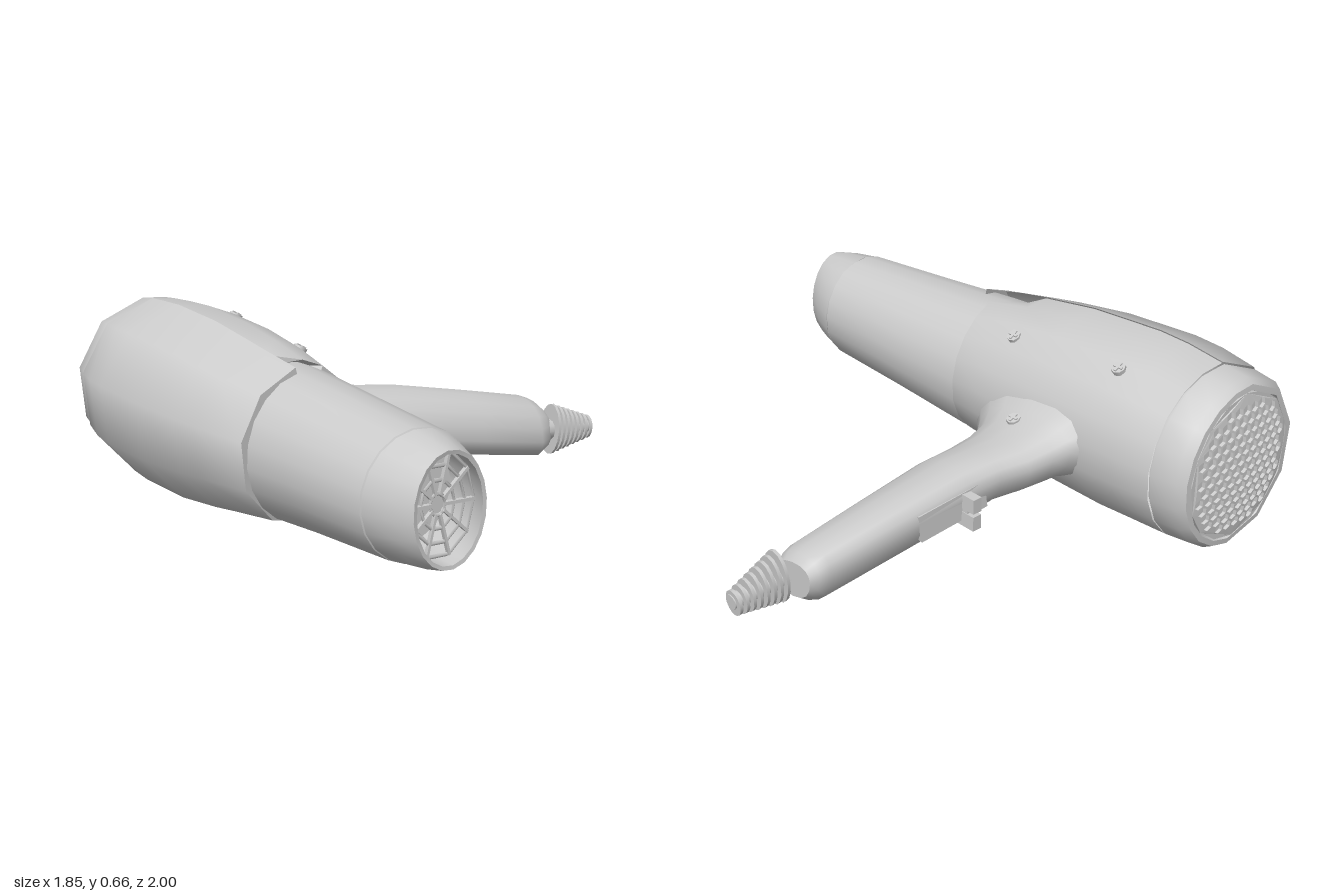
import * as THREE from 'three';
import { toCreasedNormals } from 'three/addons/utils/BufferGeometryUtils.js';

const material = new THREE.MeshStandardMaterial({ color: 0xcccccc, side: THREE.DoubleSide });
const V = (x, y, z) => new THREE.Vector3(x, y, z);

function add(parent, name, geometry, position) {
  const mesh = new THREE.Mesh(geometry, material);
  mesh.name = name;
  if (position) mesh.position.copy(position);
  parent.add(mesh);
  return mesh;
}

// Skins a list of equal-length rings; ends can be capped
function loft(rings, { closed = true, capStart = false, capEnd = false } = {}) {
  const n = rings[0].length, index = [], points = rings.flat();
  for (let i = 0; i < rings.length - 1; i++) {
    for (let j = 0; j < (closed ? n : n - 1); j++) {
      const k = (j + 1) % n, a = i * n + j, b = i * n + k;
      index.push(a, b, b + n, a, b + n, a + n);
    }
  }
  const cap = (start, flip) => {
    const centre = V(0, 0, 0);
    for (let j = 0; j < n; j++) centre.addScaledVector(points[start + j], 1 / n);
    points.push(centre);
    for (let j = 0; j < n; j++) {
      const a = start + j, b = start + (j + 1) % n;
      index.push(points.length - 1, flip ? b : a, flip ? a : b);
    }
  };
  if (capStart) cap(0, true);
  if (capEnd) cap((rings.length - 1) * n, false);
  const g = new THREE.BufferGeometry().setFromPoints(points);
  g.setIndex(index);
  return toCreasedNormals(g, 0.8);
}

// Ring across z from its extents; dz bends it out of plane
function zRing([z, x0, x1, y0, y1, dz], angles, grow = [0, 0]) {
  const cx = (x0 + x1) / 2, cy = (y0 + y1) / 2;
  return angles.map((deg) => {
    const t = deg * Math.PI / 180;
    const dx = ((x1 - x0) / 2 + grow[0]) * Math.cos(t);
    return V(cx + dx, cy + ((y1 - y0) / 2 + grow[1]) * Math.sin(t), z + (dz ? dz(dx) : 0));
  });
}

// Tilted, slightly squared ring across x
function handleRing([x, y0, y1, z0, z1]) {
  const soft = (v) => Math.sign(v) * Math.abs(v) ** 0.85;
  return Array.from({ length: 16 }, (_, i) => {
    const t = i / 16 * Math.PI * 2;
    return V(x, (y0 + y1) / 2 + (y1 - y0) / 2 * soft(Math.cos(t + 0.35)),
      (z0 + z1) / 2 + (z1 - z0) / 2 * soft(Math.sin(t)));
  });
}

export function createModel() {
  const model = new THREE.Group();
  model.name = 'hairDryer';
  const coarse = [95, 131, 167, 203, 239, 275];
  const fine = [275, 293, 311, 329, 347, 365, 383, 401, 419, 437, 455];
  const around = [...coarse.slice(0, -1), ...fine.slice(0, -1)];
  const round = Array.from({ length: 20 }, (_, i) => i * 18 + 5);

  // Housing: coarse-sided shell on one side, rounder half on the handle side
  const body = [
    [-0.848, -0.89, -0.28, 0.01, 0.64],
    [-0.7, -0.92, -0.265, 0.005, 0.652],
    [-0.58, -0.925, -0.255, 0.002, 0.657],
    [-0.3, -0.905, -0.255, 0.01, 0.645],
    [-0.08, -0.87, -0.265, 0.035, 0.617],
  ];
  const slant = (dx) => -0.3 * dx;
  const shell = [...body,
    [0.03, -0.845, -0.272, 0.05, 0.6],
    [0.18, -0.785, -0.29, 0.068, 0.572, slant],
    [0.182, -0.75, -0.32, 0.095, 0.545, slant]];
  add(model, 'sideShell', loft(shell.map((s) => zRing(s, coarse, [0.006, 0.004])), { closed: false }));
  // Front edge is cut back beside the shell seam
  const notch = (dx) => dx < 0.06 ? -0.1 : -0.15 * (dx - 0.1);
  const half = [...body,
    [0.09, -0.82, -0.278, 0.055, 0.582, notch],
    [0.092, -0.78, -0.31, 0.09, 0.545, notch]];
  add(model, 'handleSideHousing', loft(half.map((s) => zRing(s, fine)), { closed: false }));

  // Rear collar with a recessed seat for the intake
  add(model, 'rearCollar', loft([
    [-0.955, -0.82, -0.34, 0.06, 0.59],
    [-0.98, -0.825, -0.335, 0.055, 0.595],
    [-0.978, -0.85, -0.315, 0.035, 0.615],
    [-0.95, -0.872, -0.293, 0.02, 0.63],
    [-0.856, -0.888, -0.28, 0.011, 0.639],
    [-0.85, -0.875, -0.295, 0.025, 0.625],
    [-0.84, -0.875, -0.295, 0.025, 0.625],
  ].map((s) => zRing(s, around)), { capStart: true }));

  // Domed honeycomb intake grille
  const rx = 0.24, ry = 0.265, cell = 0.019;
  const disc = new THREE.Shape().absellipse(0, 0, rx, ry, 0, Math.PI * 2);
  const stepX = cell * 2.1, stepY = stepX * 0.866;
  for (let r = -8; r <= 8; r++) {
    for (let c = -7; c <= 7; c++) {
      const x = (c + (r & 1) / 2) * stepX, y = r * stepY;
      if (Math.hypot(x / (rx - 0.025), y / (ry - 0.025)) > 1) continue;
      const hole = new THREE.Path();
      for (let k = 0; k < 6; k++) {
        const a = -(k + 0.5) * Math.PI / 3;
        hole[k ? 'lineTo' : 'moveTo'](x + cell * Math.cos(a), y + cell * Math.sin(a));
      }
      hole.closePath();
      disc.holes.push(hole);
    }
  }
  const mesh = new THREE.ExtrudeGeometry(disc, { depth: 0.012, bevelEnabled: false, curveSegments: 8 });
  const p = mesh.attributes.position;
  for (let i = 0; i < p.count; i++) {
    const d = Math.hypot(p.getX(i) / rx, p.getY(i) / ry);
    p.setZ(i, p.getZ(i) - 0.022 * (1 - d * d));
  }
  mesh.computeVertexNormals();
  add(model, 'intakeGrille', mesh, V(-0.58, 0.325, -0.978));

  // Air tube and tapered mouth
  const tilt = (dx) => -0.08 * dx;
  add(model, 'airTube', loft([
    [-0.15, -0.80, -0.285, 0.05, 0.575],
    [0.1, -0.785, -0.285, 0.06, 0.562],
    [0.45, -0.74, -0.293, 0.088, 0.54],
    [0.818, -0.7, -0.298, 0.112, 0.517, tilt],
    [0.824, -0.69, -0.308, 0.122, 0.507, tilt],
  ].map((s) => zRing(s, round))));
  add(model, 'mouth', loft([
    [0.824, -0.697, -0.301, 0.115, 0.514, tilt],
    [0.92, -0.66, -0.335, 0.126, 0.503, tilt],
    [0.988, -0.622, -0.368, 0.14, 0.49, tilt],
    [0.986, -0.61, -0.38, 0.152, 0.478, tilt],
    [0.9, -0.63, -0.362, 0.15, 0.48, tilt],
    [0.75, -0.65, -0.345, 0.15, 0.48],
  ].map((s) => zRing(s, round)), { capEnd: true }));

  // Outlet grille: rings and spokes
  const outlet = new THREE.Group();
  outlet.name = 'outletGrille';
  outlet.position.set(-0.496, 0.315, 0.92);
  outlet.scale.set(0.125, 0.165, 0.125);
  model.add(outlet);
  for (const r of [0.2, 0.45, 0.72, 0.97]) add(outlet, 'grilleRing', new THREE.TorusGeometry(r, 0.04, 4, 10));
  for (let i = 0; i < 10; i++) {
    const a = i * Math.PI / 5;
    const spoke = add(outlet, 'grilleSpoke', new THREE.BoxGeometry(0.8, 0.06, 0.12),
      V(0.58 * Math.cos(a), 0.58 * Math.sin(a), 0));
    spoke.rotation.z = a;
  }

  // Handle flaring into the housing
  add(model, 'handle', loft([
    [-0.42, 0.11, 0.53, -0.72, 0.04],
    [-0.32, 0.12, 0.475, -0.63, -0.02],
    [-0.24, 0.145, 0.395, -0.555, -0.11],
    [-0.18, 0.142, 0.368, -0.53, -0.155],
    [-0.1, 0.138, 0.345, -0.505, -0.172],
    [0, 0.13, 0.334, -0.47, -0.18],
    [0.12, 0.092, 0.325, -0.452, -0.165],
    [0.4, 0.048, 0.275, -0.423, -0.165],
    [0.66, 0.01, 0.225, -0.398, -0.165],
    [0.7, 0.03, 0.208, -0.392, -0.178],
    [0.725, 0.05, 0.185, -0.375, -0.2],
  ].map(handleRing), { capEnd: true }));

  // Sliding switch with a two-part thumb piece
  const plate = add(model, 'switchPlate', new THREE.BoxGeometry(0.27, 0.1, 0.03), V(0.185, 0.215, -0.428));
  plate.rotation.set(0, -0.09, -0.15);
  for (const y of [0.178, 0.242]) {
    add(model, 'switchTab', new THREE.BoxGeometry(0.035, 0.052, 0.08), V(0.135, y, -0.46));
  }
  add(model, 'switchBridge', new THREE.BoxGeometry(0.03, 0.11, 0.04), V(0.135, 0.21, -0.45));

  // Cross-head screws
  for (const [x, y, z, lean] of [[-0.4, 0.59, -0.6, -0.5], [-0.38, 0.55, -0.14, -0.55], [-0.2, 0.362, -0.325, -0.35]]) {
    const screw = new THREE.Group();
    screw.name = 'screw';
    screw.position.set(x, y, z);
    screw.rotation.z = lean;
    add(screw, 'screwHead', new THREE.CylinderGeometry(0.025, 0.025, 0.03, 8));
    for (const turn of [0, Math.PI / 2]) {
      add(screw, 'screwCross', new THREE.BoxGeometry(0.036, 0.008, 0.009), V(0, 0.016, 0)).rotation.y = turn;
    }
    model.add(screw);
  }

  // Ribbed cord sleeve
  const core = add(model, 'cordSleeve', new THREE.CylinderGeometry(0.026, 0.042, 0.22, 12), V(0.812, 0.097, -0.229));
  core.rotation.z = -Math.PI / 2 - 0.06;
  for (let i = 0; i < 8; i++) {
    const t = i / 7;
    const rib = add(model, 'sleeveRib', new THREE.CylinderGeometry(1, 1, 0.011, 16),
      V(0.738 + 0.174 * t, 0.104 - 0.016 * t, -0.225 - 0.01 * t));
    rib.scale.set(0.098 - 0.052 * t, 1, 0.06 - 0.022 * t);
    rib.rotation.z = -Math.PI / 2 - 0.08;
  }
  return model;
}
